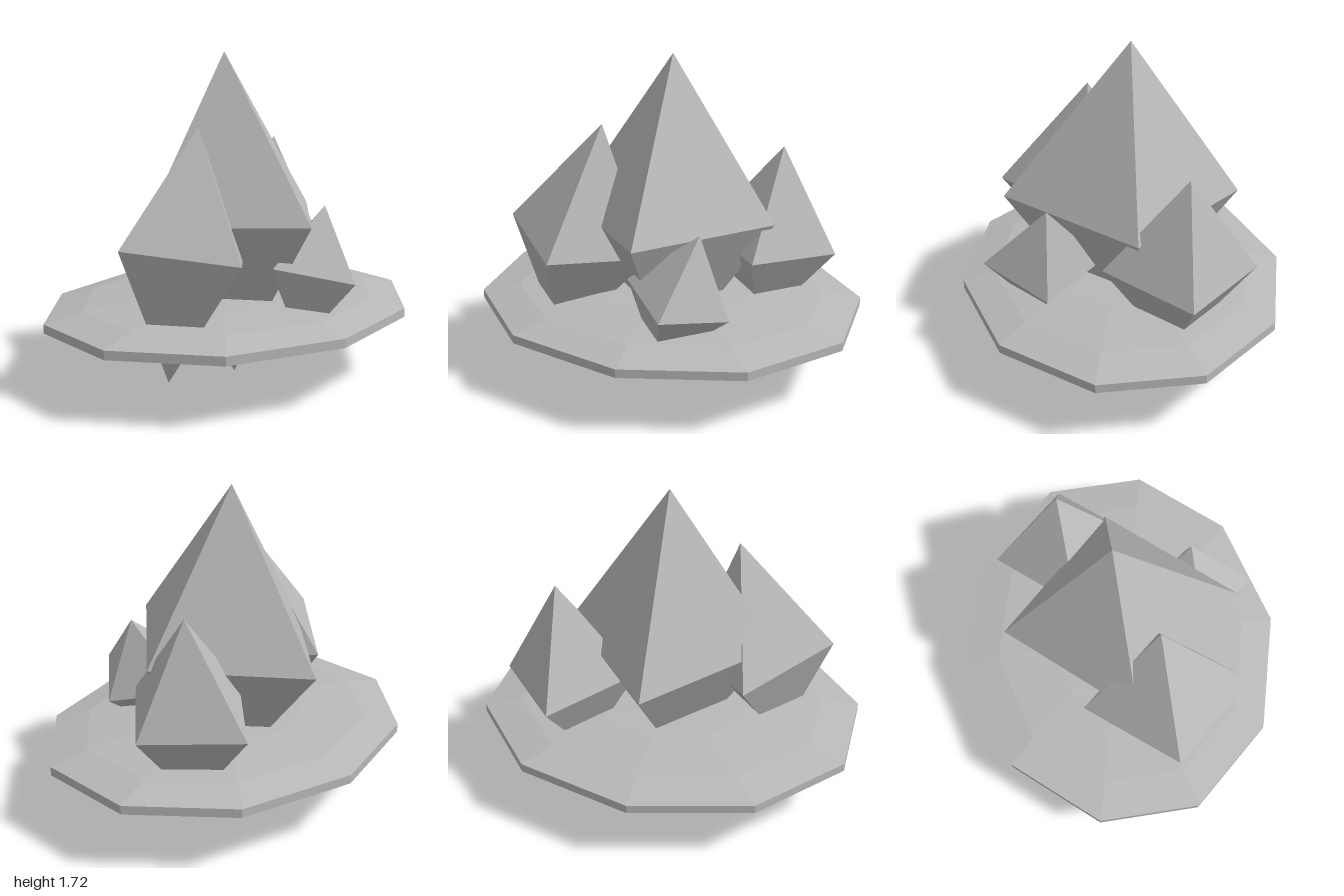
import * as THREE from 'three';

const stone = new THREE.MeshStandardMaterial({ color: 0xb8b8b8 });
stone.name = 'grey stone';

function part(name, geometry) {
  const flat = geometry.index ? geometry.toNonIndexed() : geometry;
  flat.computeVertexNormals(); // faceted look
  const mesh = new THREE.Mesh(flat, stone);
  mesh.name = name;
  return mesh;
}

// Tilted octahedron: centre plus its three half-axes (side, up, front)
function crystal(name, centre, side, up, front) {
  const matrix = new THREE.Matrix4()
    .makeBasis(new THREE.Vector3(...side), new THREE.Vector3(...up), new THREE.Vector3(...front))
    .setPosition(...centre);
  return part(name, new THREE.OctahedronGeometry(1).applyMatrix4(matrix));
}

export function createModel() {
  const group = new THREE.Group();
  group.name = 'crystalCluster';

  // Flattened ten-sided oval base
  const base = new THREE.SphereGeometry(1, 10, 7);
  base.scale(0.897, 0.106, 1.077).translate(0, 0.361, 0);
  group.add(part('base', base));

  // Four crystals growing through the base
  group.add(
    crystal('mainCrystal', [0, 0.862, 0], [0.63, 0.03, 0], [-0.042, 0.862, 0], [0, 0, 0.568]),
    crystal('frontCrystal', [0.178, 0.74, 0.45], [0.448, 0.024, 0], [-0.033, 0.63, -0.125], [-0.002, 0.08, 0.393]),
    crystal('backCrystal', [-0.228, 0.678, -0.495], [0.4, 0.02, 0], [-0.028, 0.533, -0.054], [0, 0.037, 0.36]),
    crystal('sideCrystal', [0.447, 0.582, -0.182], [0.313, 0.016, 0], [-0.018, 0.358, -0.107], [-0.002, 0.08, 0.27]),
  );
  return group;
}
